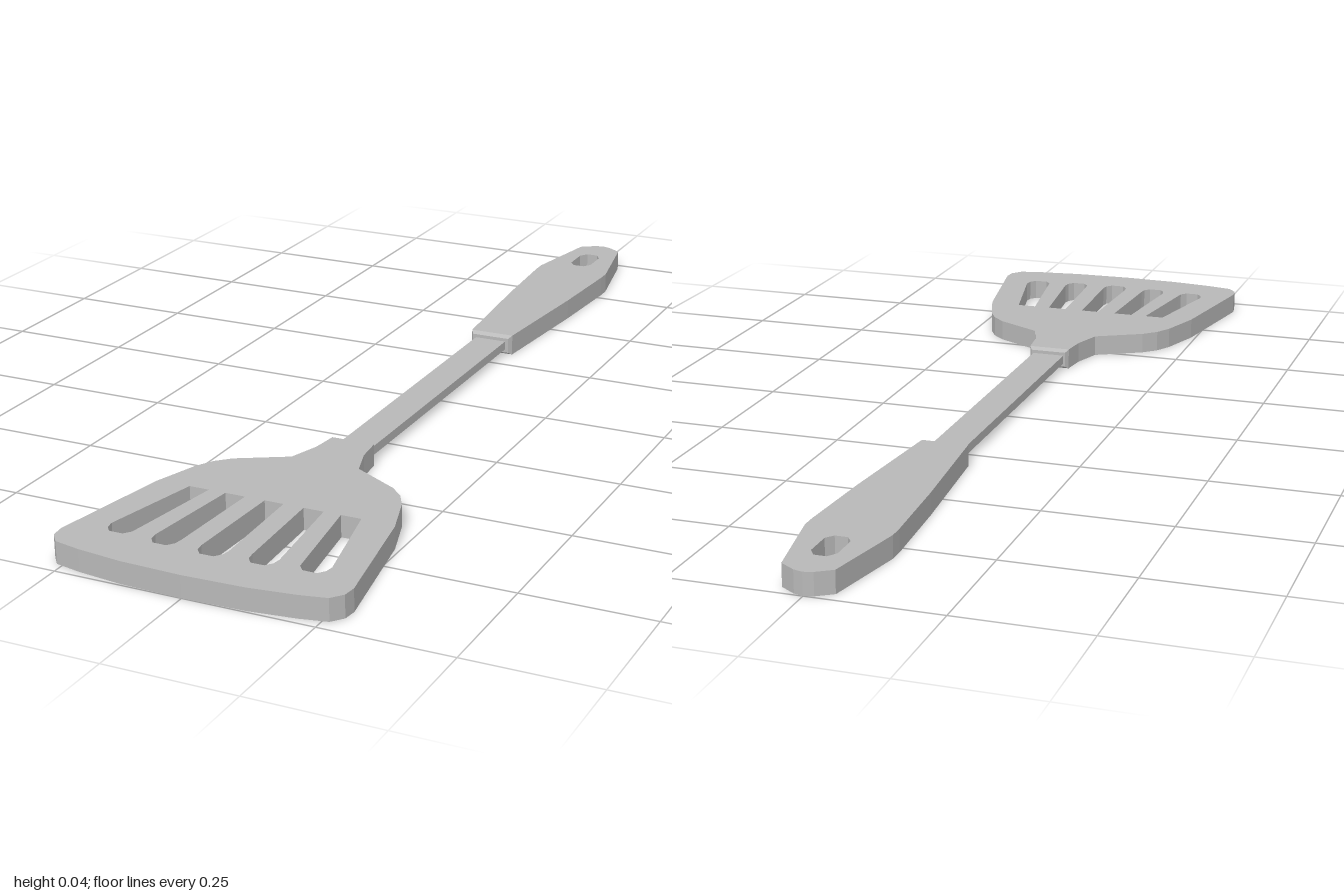
import * as THREE from 'three';

const T = 0.043; // thickness of blade and grip

// Half outline [x, z] mirrored across x = 0 into a closed loop
const mirror = (half) => [
  ...half,
  ...half.filter(([x]) => x > 0).reverse().map(([x, z]) => [-x, z]),
].map(([x, z]) => new THREE.Vector2(x, z));

// Flat plate lying on y = 0, drawn in x/z, with cut-outs
function plate(outline, holes) {
  const shape = new THREE.Shape(outline);
  holes.forEach((h) => shape.holes.push(new THREE.Path(h)));
  const geo = new THREE.ExtrudeGeometry(shape, { depth: T, bevelEnabled: false });
  return geo.rotateX(Math.PI / 2).translate(0, T, 0);
}

// Slot with a narrow straight top and a wider rounded bottom
function slot(topX, topW, botX, botW, z0, z1) {
  const at = (side, k, z) => new THREE.Vector2(botX + side * botW * k, z);
  return [
    new THREE.Vector2(topX - topW, z0), new THREE.Vector2(topX + topW, z0),
    at(1, 1, z1 - 0.03), at(1, 0.9, z1 - 0.013), at(1, 0.5, z1),
    at(-1, 0.5, z1), at(-1, 0.9, z1 - 0.013), at(-1, 1, z1 - 0.03),
  ];
}

// Short collar whose far end (in direction dir) is chamfered
function lip(halfWidth, z, dir) {
  const len = 0.009;
  const geo = new THREE.BoxGeometry(halfWidth * 2, T, len);
  const p = geo.attributes.position;
  for (let i = 0; i < p.count; i++) {
    if (p.getZ(i) * dir > 0) p.setXY(i, p.getX(i) * 0.87, p.getY(i) * 0.74);
  }
  geo.computeVertexNormals();
  return geo.translate(0, T / 2, z + dir * len / 2);
}

export function createModel() {
  const group = new THREE.Group();
  const grey = new THREE.MeshStandardMaterial({ color: 0xb8b8b8 });
  grey.name = 'grey';
  const add = (name, geo) => {
    const mesh = new THREE.Mesh(geo, grey);
    mesh.name = name;
    group.add(mesh);
  };

  // Blade with five fanned slots
  const blade = mirror([
    [0.044, 0.36], [0.05, 0.415], [0.07, 0.477], [0.165, 0.53], [0.192, 0.556],
    [0.211, 0.59], [0.24, 0.68], [0.283, 0.925], [0.28, 0.952], [0.262, 0.974],
    [0.21, 0.985], [0.12, 0.996], [0, 1],
  ]);
  const slots = [slot(0, 0.019, 0, 0.027, 0.675, 0.915)];
  for (const s of [-1, 1]) {
    slots.push(slot(s * 0.079, 0.02, s * 0.095, 0.026, 0.675, 0.91));
    slots.push(slot(s * 0.153, 0.02, s * 0.188, 0.027, 0.675, 0.9));
  }
  add('blade', plate(blade, slots));
  add('bladeCollar', lip(0.044, 0.36, -1));

  // Shaft
  add('shaft', new THREE.BoxGeometry(0.068, 0.018, 0.68).translate(0, T / 2, 0.02));

  // Grip with hanging hole
  const grip = mirror([
    [0, -1], [0.018, -0.995], [0.048, -0.975], [0.081, -0.8], [0.081, -0.77],
    [0.07, -0.585], [0.047, -0.314],
  ]);
  const hole = mirror([
    [0.012, -0.925], [0.024, -0.907], [0.024, -0.849], [0.012, -0.833],
  ]);
  add('grip', plate(grip, [hole]));
  add('gripCollar', lip(0.047, -0.314, 1));

  return group;
}
